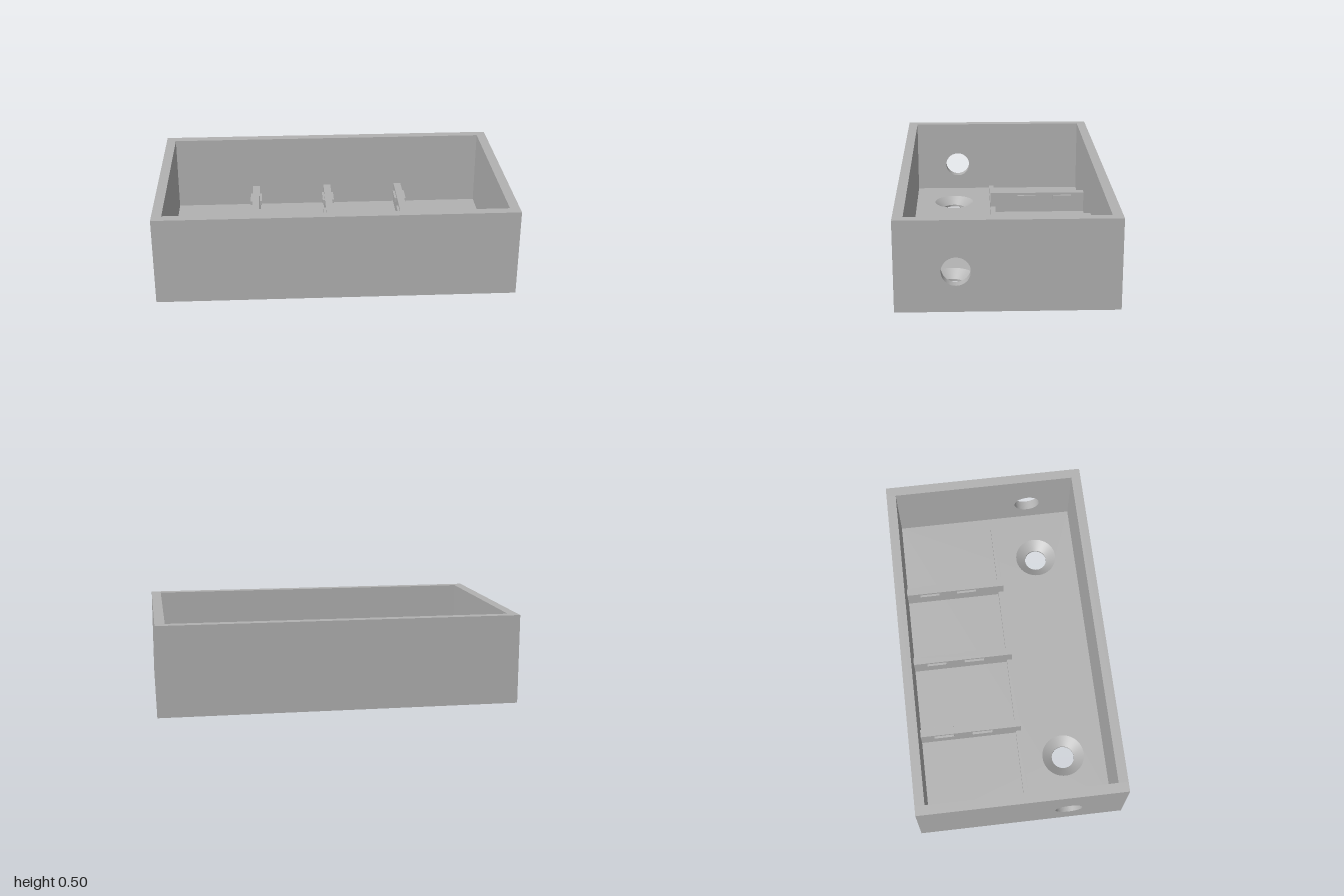
import * as THREE from 'three';

const W = 2, D = 1.174, H = 0.5, T = 0.055;   // outer size and wall thickness
const IX = W / 2 - T, IZ = D / 2 - T;         // inner half sizes
const SCREW = { x: 0.647, z: 0.29, small: 0.066, big: 0.123 };

export function createModel() {
  const group = new THREE.Group();
  const grey = new THREE.MeshStandardMaterial({ color: 0xb2b2b2, side: THREE.DoubleSide });
  grey.name = 'grey plastic';

  const add = (name, geometry, x = 0, y = 0, z = 0) => {
    const mesh = new THREE.Mesh(geometry, grey);
    mesh.name = name;
    mesh.position.set(x, y, z);
    group.add(mesh);
    return mesh;
  };
  // box given by its minimum and maximum corners
  const block = (name, x0, x1, y0, y1, z0, z1) =>
    add(name, new THREE.BoxGeometry(x1 - x0, y1 - y0, z1 - z0),
      (x0 + x1) / 2, (y0 + y1) / 2, (z0 + z1) / 2);
  const rect = (x0, x1, y0, y1) => new THREE.Shape([
    new THREE.Vector2(x0, y0), new THREE.Vector2(x1, y0),
    new THREE.Vector2(x1, y1), new THREE.Vector2(x0, y1)]);
  const circle = (x, y, r) => new THREE.Path().absarc(x, y, r, 0, Math.PI * 2, true);

  // front and back walls
  block('frontWall', -IX, IX, 0, H, IZ, D / 2);
  block('backWall', -IX, IX, 0, H, -D / 2, -IZ);

  // end walls with a round cable hole
  const endShape = rect(-D / 2, D / 2, 0, H);
  endShape.holes.push(circle(-0.267, 0.222, 0.077));
  const endGeometry = new THREE.ExtrudeGeometry(endShape, { depth: T, bevelEnabled: false, curveSegments: 32 });
  endGeometry.rotateY(Math.PI / 2);
  add('leftEndWall', endGeometry, IX);
  add('rightEndWall', endGeometry, -W / 2);

  // floor skins, pierced by the screw holes
  const floorSkin = (radius, angle) => {
    const shape = rect(-IX, IX, -IZ, IZ);
    const y = angle < 0 ? -SCREW.z : SCREW.z;
    for (const s of [-1, 1]) shape.holes.push(circle(s * SCREW.x, y, radius));
    return new THREE.ShapeGeometry(shape, 32).rotateX(angle);
  };
  add('floorTop', floorSkin(SCREW.big, -Math.PI / 2), 0, T);
  add('floorUnderside', floorSkin(SCREW.small, Math.PI / 2));

  // countersunk screw holes: short bore, then a cone
  const bore = 0.012;
  for (const s of [-1, 1]) {
    add('screwBore', new THREE.CylinderGeometry(SCREW.small, SCREW.small, bore, 48, 1, true),
      s * SCREW.x, bore / 2, SCREW.z);
    add('screwCountersink', new THREE.CylinderGeometry(SCREW.big, SCREW.small, T - bore, 48, 1, true),
      s * SCREW.x, (T + bore) / 2, SCREW.z);
  }

  // dividers with small snap ribs on both sides
  const half = 0.022, top = 0.18, stopBack = 0.028, stopFront = 0.058;
  const centres = [-0.453, -0.003, 0.447];
  for (const x of centres) {
    block('divider', x - half, x + half, T, top, -IZ, stopFront);
    for (const z of [-0.395, -0.17])
      block('snapRib', x - half - 0.013, x + half + 0.013, 0.14, 0.165, z - 0.058, z + 0.058);
  }

  // low stop ridges between the dividers
  const ends = [-0.882, ...centres, 0.88];
  for (let i = 0; i < 4; i++)
    block('stopRidge', ends[i] + (i > 0 ? half : 0), ends[i + 1] - (i < 3 ? half : 0),
      T, 0.09, stopBack, stopFront);

  return group;
}
